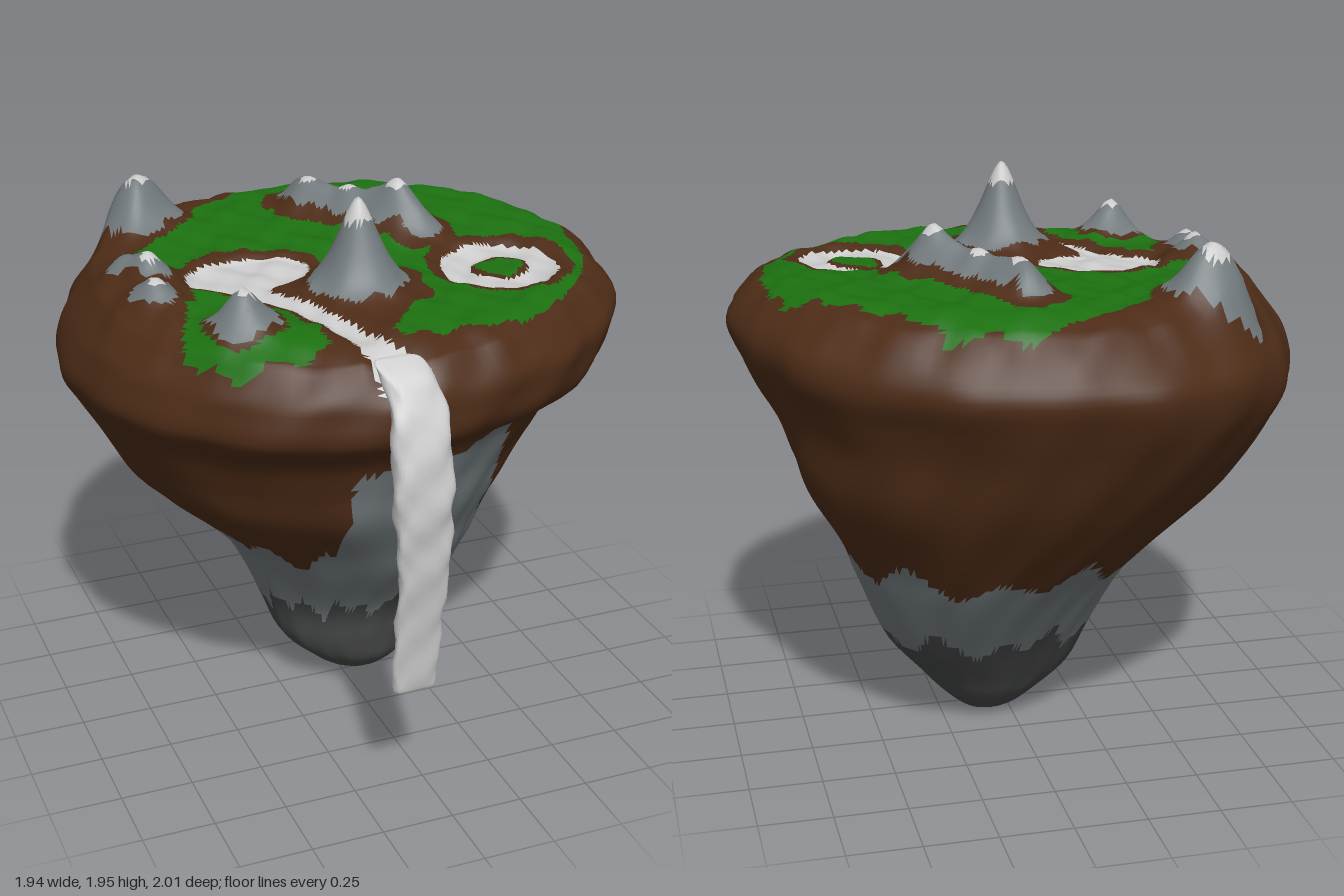
import * as THREE from 'three';

const { smoothstep, clamp } = THREE.MathUtils;
const SEG = 180;

// Island outline by height: y, left x, right x, back z, front z
const OUTLINE = [
  [0, .08, .10, -.05, -.03], [.02, -.02, .17, -.12, .04], [.1, -.13, .26, -.20, .13], [.2, -.23, .34, -.26, .16],
  [.35, -.29, .45, -.36, .20], [.58, -.40, .55, -.53, .38], [.72, -.52, .60, -.63, .47],
  [.9, -.72, .70, -.75, .59], [1.05, -.81, .77, -.84, .63], [1.2, -.885, .82, -.91, .69],
  [1.32, -.94, .89, -.96, .86], [1.43, -.915, .94, -.99, .88], [1.51, -.88, .95, -.94, .865], [1.6, -.82, .86, -.85, .81],
];

// Peaks: x, z, height, spread, rock radius, soil radius, snow radius
const PEAKS = [
  [-.06, .29, .31, .10, .165, .215, .045],
  [.06, -.48, .10, .085, .085, .14, .03], [.16, -.34, .10, .085, .085, .14, .03], [.28, -.18, .17, .085, .095, .14, .035],
  [.33, -.08, .06, .07, .075, .13, 0], [.04, -.56, .05, .06, .06, .13, 0],
  [.11, -.41, .04, .07, .08, .14, 0], [.22, -.26, .06, .07, .085, .14, 0],
  [-.55, -.61, .13, .11, .125, .17, .045], [-.61, -.62, .05, .08, .1, .14, 0], [-.48, -.6, .04, .08, .1, .13, 0],
  [-.57, -.53, .04, .08, .1, .13, 0],
  [-.73, -.13, .07, .08, .07, .12, 0], [-.67, -.04, .09, .07, .07, .11, .03], [-.70, .13, .08, .08, .075, .12, .025],
  [-.51, .46, .14, .085, .11, .13, .03],
];

// Grass areas in plan (x, z)
const GRASS = [
  [[-.13, -.77], [.08, -.86], [.35, -.82], [.58, -.55], [.80, -.34], [.84, -.18], [.83, .1], [.79, .27], [.68, .44],
    [.54, .58], [.33, .72], [-.13, .71], [.04, .5], [.14, .45], [.18, .26], [.08, .08], [-.12, .02], [-.16, -.13],
    [-.39, -.21], [-.54, -.1], [-.6, .05], [-.67, -.29], [-.45, -.45], [-.31, -.66]],
  [[-.57, .10], [-.39, .21], [-.29, .5], [-.29, .66], [-.42, .70], [-.6, .64], [-.72, .48], [-.66, .32]],
];
// Stream: x, z, half width
const STREAM = [[-.39, .1, .09], [-.37, .2, .045], [-.28, .36, .033], [-.23, .5, .033], [-.18, .68, .045], [-.12, .9, .08]];
const POND = [.48, .24];

const COLORS = { soil: 0x4d2c17, grass: 0x1c7010, rock: 0x727a7d, darkRock: 0x464747, water: 0xcccccc, snow: 0xcccccc };

// Catmull-Rom sample of a table of rows, t in 0..1
function sampleRows(rows, t) {
  const f = t * (rows.length - 1), i = Math.min(Math.floor(f), rows.length - 2), u = f - i;
  const r = k => rows[clamp(k, 0, rows.length - 1)];
  return rows[0].map((_, c) => {
    const a = r(i - 1)[c], b = r(i)[c], d = r(i + 1)[c], e = r(i + 2)[c];
    return b + .5 * u * (d - a + u * (2 * a - 5 * b + 4 * d - e + u * (3 * (b - d) + e - a)));
  });
}

function insidePolygon(x, z, poly) {
  let inside = false;
  poly.forEach(([ax, az], i) => {
    const [bx, bz] = poly[(i + 1) % poly.length];
    if ((az > z) !== (bz > z) && x < ax + (z - az) / (bz - az) * (bx - ax)) inside = !inside;
  });
  return inside;
}

// Signed distance to a tapered line: negative inside
function streamDistance(x, z) {
  let best = Infinity;
  for (let i = 0; i < STREAM.length - 1; i++) {
    const [ax, az, aw] = STREAM[i], [bx, bz, bw] = STREAM[i + 1];
    const dx = bx - ax, dz = bz - az;
    const t = clamp(((x - ax) * dx + (z - az) * dz) / (dx * dx + dz * dz), 0, 1);
    best = Math.min(best, Math.hypot(x - ax - t * dx, z - az - t * dz) - aw - t * (bw - aw));
  }
  return best;
}
const lakeDistance = (x, z) => (Math.hypot((x + .345) / .215, (z - .01) / .145) - 1) * .17;
const pondRadius = (x, z) => Math.hypot(x - POND[0], z - POND[1]);
const waterDistance = (x, z) => Math.min(streamDistance(x, z), lakeDistance(x, z), Math.abs(pondRadius(x, z) - .15) - .052);
const ripple = (x, z) => Math.sin(23 * x + 5 * z) * Math.sin(19 * z - 7 * x + 1) + .6 * Math.sin(41 * x + 2) * Math.sin(37 * z);

// Height added to the plateau by peaks, channels and small lumps
function relief(x, z) {
  let h = .007 * ripple(x, z) + .03 * x - .025 * z - .03 * Math.exp(-((pondRadius(x, z) / .27) ** 2));
  for (const [px, pz, height, spread] of PEAKS)
    h += height * Math.exp(-Math.pow(Math.hypot(x - px, z - pz) / spread, 1.7));
  return h - .02 * smoothstep(-waterDistance(x, z), -.03, .02);
}

function plateauMaterial(x, z) {
  const jag = .012 * ripple(1.4 * x, 1.4 * z);
  const gaps = PEAKS.map(p => [Math.hypot(x - p[0], z - p[1]), p]);
  if (gaps.some(([d, p]) => d < p[6])) return 'snow';
  if (waterDistance(x, z) < 0) return 'water';
  if (gaps.some(([d, p]) => d + jag < p[4])) return 'rock';
  const pond = pondRadius(x, z);
  if (pond < .075 + jag) return 'grass';
  if (pond < .25 + jag || gaps.some(([d, p]) => d + jag < p[5])) return 'soil';
  if (Math.min(lakeDistance(x, z), streamDistance(x, z)) < .04 + jag) return 'soil';
  return GRASS.some(p => insidePolygon(x + jag, z - jag, p)) ? 'grass' : 'soil';
}

function sideMaterial(x, y, z) {
  const a = Math.atan2(z, x);
  const jag = .03 * Math.asin(Math.sin(13 * a)) + .025 * Math.sin(7 * a + 1);
  if (y < .37 + jag) return 'darkRock';
  const slab = z > .1 && x > -.2 && x < .38 + .12 * (1.2 - y) && y < 1.17 + .12 * (x - .2) + jag * .5;
  return slab || y < .69 + jag ? 'rock' : 'soil';
}

// Joins closed rings of points into one smooth surface
function loft(rings) {
  const index = [], n = rings[0].length;
  for (let i = 0; i < rings.length - 1; i++)
    for (let j = 0; j < n; j++) {
      const k = (j + 1) % n, a = i * n, b = a + n;
      index.push(a + j, b + j, a + k, b + j, b + k, a + k);
    }
  const geometry = new THREE.BufferGeometry();
  geometry.setAttribute('position', new THREE.Float32BufferAttribute(rings.flat(2), 3));
  geometry.setIndex(index);
  geometry.computeVertexNormals();
  return geometry;
}

function islandRing(row, scale, lift) {
  const [y, xl, xr, zb, zf] = row;
  return Array.from({ length: SEG }, (_, j) => {
    const a = j / SEG * Math.PI * 2, c = Math.cos(a), s = Math.sin(a);
    // Bulge or hollow centred on a diagonal direction
    const diagonal = turns => Math.max(0, Math.cos(a - Math.PI * turns)) ** 4;
    const corners = (.065 * diagonal(1.25) + .045 * diagonal(.75)) * smoothstep(y, .8, 1.4)
      + (.07 * diagonal(1.75) - .1 * diagonal(.25)) * smoothstep(y, .04, .3) * (1 - smoothstep(y, .9, 1.25));
    const lumps = .007 * Math.sin(5 * a + 4 * y) + .005 * Math.sin(11 * a - 7 * y) + .005 * Math.sin(19 * a + 13 * y);
    const k = scale * (1 + corners + lumps);
    const x = (xl + xr) / 2 + k * c * (xr - xl) / 2, z = (zb + zf) / 2 + k * s * (zf - zb) / 2;
    return [x, Math.max(0, y + lift + relief(x, z) * smoothstep(y, 1.42, 1.6)), z];
  });
}

function buildIsland(group) {
  // Closed tip, underside and rim, then the plateau closing towards its middle
  const rings = [islandRing(OUTLINE[0], 0, 0)], SIDE = 56, TOP = 64;
  for (let i = 0; i <= SIDE; i++) rings.push(islandRing(sampleRows(OUTLINE, i / SIDE), 1, 0));
  const edge = OUTLINE[OUTLINE.length - 1];
  for (let i = 1; i <= TOP; i++)
    rings.push(islandRing(edge, 1 - i / TOP, .045 * Math.sin(Math.PI / 2 * Math.min(1, i / TOP / .16))));
  const whole = loft(rings), p = whole.attributes.position, idx = whole.index.array;
  const parts = {};
  for (let i = 0; i < idx.length; i += 3) {
    const tri = [idx[i], idx[i + 1], idx[i + 2]];
    const [x, y, z] = ['getX', 'getY', 'getZ'].map(f => tri.reduce((sum, v) => sum + p[f](v) / 3, 0));
    const key = y > 1.49 ? plateauMaterial(x, z) : sideMaterial(x, y, z);
    (parts[key] ??= []).push(...tri);
  }
  for (const [name, faces] of Object.entries(parts)) {
    const part = whole.clone();
    part.setIndex(faces);
    addMesh(group, name, part.toNonIndexed(), COLORS[name]);
  }
}

function addMesh(group, name, geometry, color) {
  const mesh = new THREE.Mesh(geometry, new THREE.MeshStandardMaterial({ color }));
  mesh.name = name;
  group.add(mesh);
}

function buildWaterfall(group) {
  // y, centre z, centre x, half width, half thickness
  const rows = [[.46, .89, -.1, .06, .005], [.475, .89, -.1, .075, .018], [.7, .915, -.1, .08, .024], [.9, .95, -.1, .083, .024],
    [1.05, .955, -.105, .092, .035], [1.21, .955, -.11, .098, .044], [1.4, .925, -.11, .094, .04],
    [1.5, .875, -.11, .088, .035], [1.555, .84, -.12, .085, .03], [1.595, .80, -.14, .07, .012], [1.597, .80, -.14, .001, .001]];
  const rings = [rows[0]].map(([y, z, x]) => Array(28).fill([x, y, z])), N = 60;
  for (let i = 0; i <= N; i++) {
    const [y, cz, cx, w, t] = sampleRows(rows, i / N);
    rings.push(Array.from({ length: 28 }, (_, j) => {
      const a = j / 28 * Math.PI * 2, k = 1 + .1 * Math.sin(3 * a + 31 * y) + .06 * Math.sin(5 * a - 47 * y);
      const soft = v => Math.sign(v) * Math.abs(v) ** .7;
      return [cx + w * soft(Math.cos(a)) * (1 + (k - 1) * .5), y, cz + t * soft(Math.sin(a)) * k];
    }));
  }
  addMesh(group, 'waterfall', loft(rings), COLORS.water);
}

export function createModel() {
  const group = new THREE.Group();
  group.name = 'floatingIsland';
  buildIsland(group);
  buildWaterfall(group);
  return group;
}
